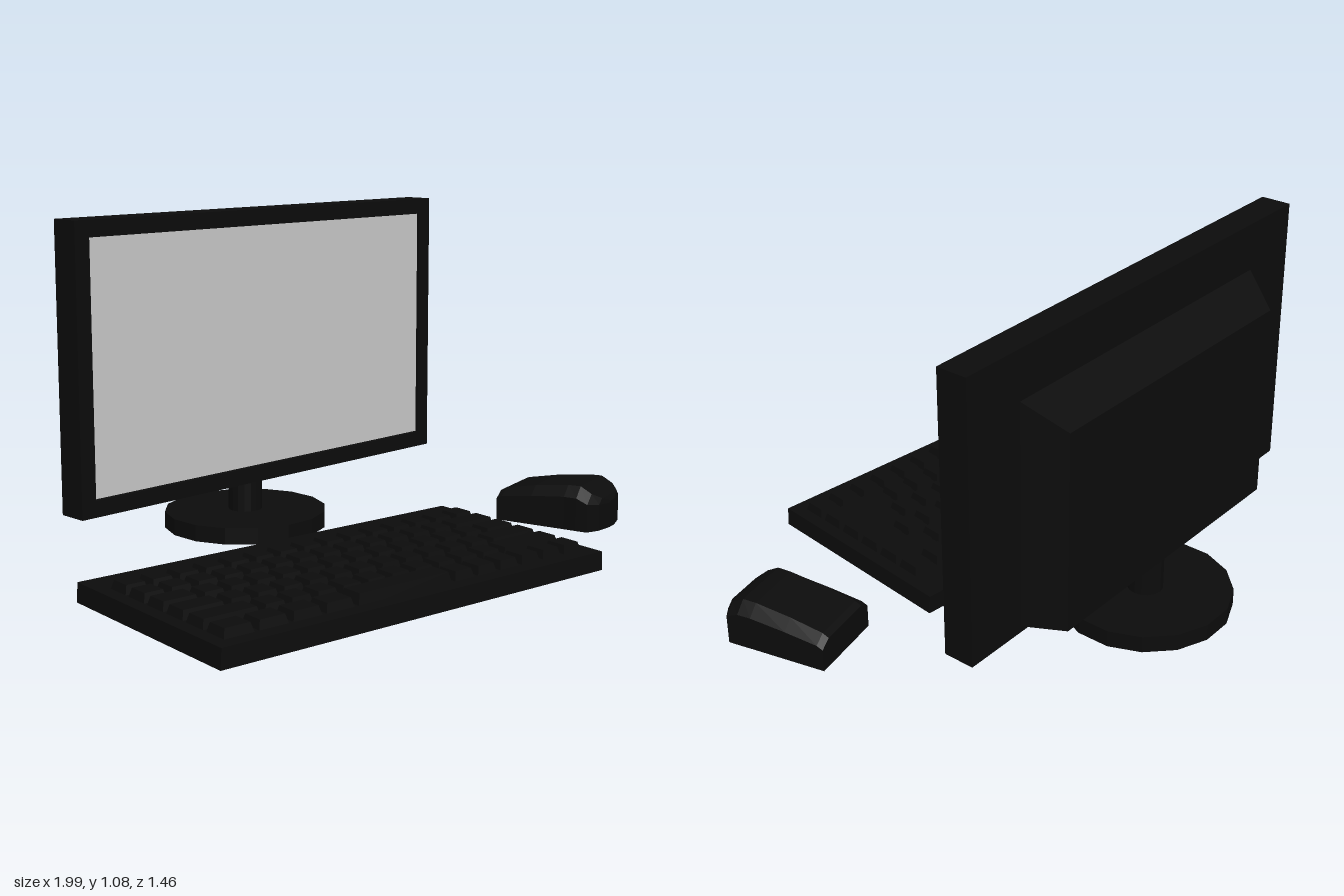
import * as THREE from 'three';

const black = new THREE.MeshStandardMaterial({ color: 0x0c0c0c, flatShading: true });
const grey = new THREE.MeshStandardMaterial({ color: 0xcccccc });

function add(parent, name, geometry, x = 0, y = 0, z = 0, material = black) {
  const mesh = new THREE.Mesh(geometry, material);
  mesh.name = name;
  mesh.position.set(x, y, z);
  parent.add(mesh);
  return mesh;
}

// Box whose vertices are moved by a rule
function shapedBox(w, h, d, rule) {
  const geo = new THREE.BoxGeometry(w, h, d);
  const p = geo.attributes.position;
  const v = new THREE.Vector3();
  for (let i = 0; i < p.count; i++) {
    rule(v.fromBufferAttribute(p, i));
    p.setXYZ(i, v.x, v.y, v.z);
  }
  geo.computeVertexNormals();
  return geo;
}

function rectangle(Type, w, h) {
  const path = new Type();
  path.moveTo(-w / 2, -h / 2);
  path.lineTo(w / 2, -h / 2);
  path.lineTo(w / 2, h / 2);
  path.lineTo(-w / 2, h / 2);
  path.closePath();
  return path;
}

function createMonitor() {
  const g = new THREE.Group();
  g.name = 'monitor';

  // Bezel around the slightly recessed screen
  const frame = rectangle(THREE.Shape, 1.56, 0.9);
  frame.holes.push(rectangle(THREE.Path, 1.455, 0.795));
  add(g, 'bezel', new THREE.ExtrudeGeometry(frame, { depth: 0.02, bevelEnabled: false }), 0, 0.63, -0.35);
  add(g, 'casing', new THREE.BoxGeometry(1.56, 0.9, 0.08), 0, 0.63, -0.39);
  add(g, 'screen', new THREE.PlaneGeometry(1.455, 0.795), 0, 0.632, -0.34, grey);

  // Rear housing, tapered at the sides and top
  const housing = shapedBox(1.135, 0.725, 0.12, (v) => {
    if (v.z > 0) return;
    v.x -= Math.sign(v.x) * 0.065;
    if (v.y > 0) v.y -= 0.083;
  });
  add(g, 'rearHousing', housing, 0, 0.5625, -0.489);

  // Stand
  const base = new THREE.CylinderGeometry(0.275, 0.275, 0.055, 16);
  base.rotateY(Math.PI / 16);
  add(g, 'standBase', base, 0, 0.0275, -0.465);
  add(g, 'standNeck', new THREE.CylinderGeometry(0.057, 0.057, 0.22, 16), 0, 0.15, -0.465);
  g.position.x = 0.02;
  return g;
}

function createKeyboard() {
  const g = new THREE.Group();
  g.name = 'keyboard';
  const body = shapedBox(1.425, 0.06, 0.725, (v) => {
    if (v.y > 0) v.x *= 0.995;
  });
  add(g, 'keyboardBody', body, 0, 0.03, 0);

  // Key widths per row, in units; every row is 15 units wide
  const ones = (n) => Array(n).fill(1);
  const rows = [
    ones(15),
    [...ones(13), 2],
    [1.5, ...ones(12), 1.5],
    [1.75, ...ones(11), 2.25],
    [2.25, ...ones(10), 2.75],
    [1.25, 1.25, 1.25, 1.25, 4, ...ones(6)],
  ];
  const unit = 0.09, pitch = 0.096, gap = 0.01;
  rows.forEach((row, r) => {
    let x = -0.675;
    for (const units of row) {
      const w = units * unit;
      const h = units === 4 ? 0.042 : 0.037;
      const key = shapedBox(w - gap, h, pitch - gap, (v) => {
        if (v.y < 0) return;
        v.x -= Math.sign(v.x) * 0.01;
        v.z -= Math.sign(v.z) * 0.01;
      });
      add(g, units === 4 ? 'spaceBar' : 'key', key, x + w / 2, 0.05 + h / 2, -0.207 + r * pitch);
      x += w;
    }
  });
  g.position.set(-0.25, 0, 0.2875);
  g.rotation.y = -0.116;
  return g;
}

function createMouse() {
  // Cross-sections from back to front: z, half width, shoulder height, top height
  const sections = [
    [0, 0.126, 0.075, 0.097],
    [0.02, 0.126, 0.085, 0.108],
    [0.13, 0.127, 0.1, 0.13],
    [0.25, 0.128, 0.112, 0.146],
    [0.295, 0.129, 0.112, 0.147],
    [0.335, 0.129, 0.095, 0.125],
    [0.36, 0.085, 0.09, 0.108],
    [0.373, 0.02, 0.085, 0.092],
  ];
  const positions = [];
  const index = [];
  for (const [z, w, shoulder, top] of sections) {
    const t = w * 0.72;
    positions.push(-w, 0, z, w, 0, z, w, shoulder, z, t, top, z, -t, top, z, -w, shoulder, z);
  }
  const n = 6;
  for (let s = 0; s < sections.length - 1; s++) {
    for (let i = 0; i < n; i++) {
      const a = s * n + i, b = s * n + (i + 1) % n;
      index.push(a, b, b + n, a, b + n, a + n);
    }
  }
  // End caps
  const last = (sections.length - 1) * n;
  for (let i = 1; i < n - 1; i++) {
    index.push(0, i + 1, i, last, last + i, last + i + 1);
  }
  const geo = new THREE.BufferGeometry();
  geo.setAttribute('position', new THREE.Float32BufferAttribute(positions, 3));
  geo.setIndex(index);
  const shell = geo.toNonIndexed();
  shell.computeVertexNormals();

  const g = new THREE.Group();
  g.name = 'mouse';
  add(g, 'mouseShell', shell);
  g.position.set(0.7875, 0, 0.083);
  g.rotation.y = 0.23;
  return g;
}

export function createModel() {
  const model = new THREE.Group();
  model.name = 'desktopSet';
  model.add(createMonitor(), createKeyboard(), createMouse());
  return model;
}
